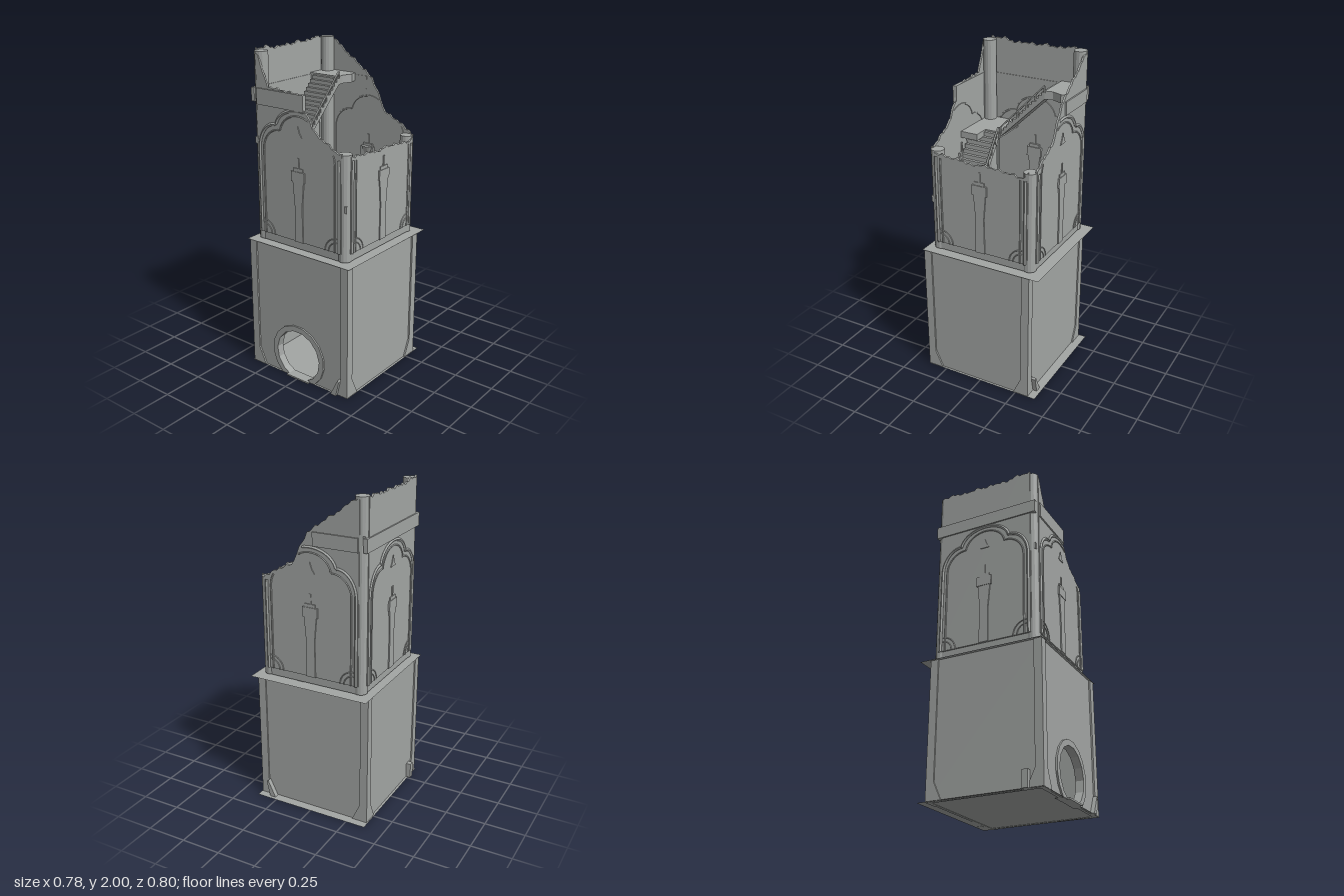
import * as THREE from 'three';

const material = new THREE.MeshStandardMaterial({ color: 0xa3a6a4, flatShading: true, side: THREE.DoubleSide });

function add(parent, name, geometry, x = 0, y = 0, z = 0) {
  const mesh = new THREE.Mesh(geometry, material);
  mesh.name = name;
  mesh.position.set(x, y, z);
  parent.add(mesh);
  return mesh;
}

// Box given by its limits on each axis
function block(parent, name, x0, x1, y0, y1, z0, z1) {
  return add(parent, name, new THREE.BoxGeometry(x1 - x0, y1 - y0, z1 - z0),
    (x0 + x1) / 2, (y0 + y1) / 2, (z0 + z1) / 2);
}

// Thin level sheet
function sheet(parent, name, x0, x1, y, z0, z1) {
  add(parent, name, new THREE.PlaneGeometry(x1 - x0, z1 - z0), (x0 + x1) / 2, y, (z0 + z1) / 2).rotation.x = -Math.PI / 2;
}

function plate(points, depth, holes = []) {
  const shape = new THREE.Shape(points.map(p => new THREE.Vector2(...p)));
  for (const h of holes) shape.holes.push(new THREE.Path(h.map(p => new THREE.Vector2(...p))));
  return new THREE.ExtrudeGeometry(shape, { depth, bevelEnabled: false });
}

// Doorway circle cut off by the ground, from right foot round to left foot
function doorArc(r, n = 13) {
  const cy = 0.155, a0 = Math.asin(-cy / r);
  return Array.from({ length: n + 1 }, (_, i) => {
    const a = a0 + (Math.PI - 2 * a0) * i / n;
    return [r * Math.cos(a), Math.max(0, cy + r * Math.sin(a))];
  });
}

// Height of a broken wall top at u
function heightAt(profile, u) {
  for (let i = 1; i < profile.length; i++) {
    const [a, ya] = profile[i - 1], [b, yb] = profile[i];
    if (u <= b) return ya + (yb - ya) * (u - a) / (b - a);
  }
  return profile[profile.length - 1][1];
}

// Adds small chips to a wall top
function ragged(profile) {
  return Array.from({ length: 37 }, (_, i) => {
    const u = -0.305 + 0.61 * i / 36;
    return [u, heightAt(profile, u) + 0.006 * Math.sin(i * 2.3) + 0.004 * Math.sin(i * 5.1)];
  });
}

// Three-lobed arch from one foot to the other
function archPoints(inset) {
  const half = [], w = 0.29 - inset, top = 1.42;
  for (let y = 0.9; y < top; y += 0.04) half.push([w, y]);
  for (let i = 0; i <= 8; i++) {
    const a = i / 8 * Math.PI / 2;
    half.push([w - 0.12 + 0.12 * Math.cos(a), top + (0.16 - inset) * Math.sin(a)]);
  }
  for (let i = 0; i <= 10; i++) {
    const a = 0.15 + i / 10 * (Math.PI / 2 - 0.15);
    half.push([(0.165 - inset) * Math.cos(a), 1.56 - inset + 0.12 * Math.sin(a)]);
  }
  return [...half, ...half.slice(0, -1).reverse().map(([x, y]) => [-x, y])];
}

// Raised moulding, kept only where the wall still stands
function moulding(parent, name, points, profile, z, radius) {
  let run = [];
  const flush = () => {
    if (run.length > 2) {
      const curve = new THREE.CatmullRomCurve3(run, false, 'centripetal');
      add(parent, name, new THREE.TubeGeometry(curve, run.length * 2, radius, 5));
    }
    run = [];
  };
  for (const [u, y] of points) {
    if (y < heightAt(profile, u) - 0.01) run.push(new THREE.Vector3(u, y, z));
    else flush();
  }
  flush();
}

function upperWall(name, angle, outline, bracket) {
  const g = new THREE.Group(), profile = ragged(outline);
  g.name = name;
  g.rotation.y = angle;
  add(g, 'brokenWall', plate([[-0.305, 0.9], [0.305, 0.9], ...[...profile].reverse()], 0.012), 0, 0, 0.332);
  moulding(g, 'outerArch', archPoints(0), profile, 0.343, 0.01);
  moulding(g, 'innerArch', archPoints(0.03), profile, 0.343, 0.005);
  moulding(g, 'insideArch', archPoints(0.03), profile, 0.333, 0.006);
  // Tapered pilaster with a capital, showing on both faces of the wall
  add(g, 'pilaster', plate([[-0.03, 0.9], [0.03, 0.9], [0.027, 1.12], [0.04, 1.27], [-0.04, 1.27], [-0.027, 1.12]], 0.03), 0, 0, 0.321);
  block(g, 'capital', -0.048, 0.048, 1.27, 1.33, 0.314, 0.354);
  block(g, 'capitalNeck', -0.034, 0.034, 1.33, 1.35, 0.32, 0.35);
  block(g, 'finial', -0.006, 0.006, 1.35, 1.41, 0.326, 0.349);
  if (bracket)
    add(g, 'innerBracket', new THREE.CylinderGeometry(0.045, 0.02, 0.07, 10, 1, false, Math.PI / 2, Math.PI), 0, 1.3, 0.335);
  // Fan ornaments at the foot of the arch
  for (const s of [-1, 1]) for (const r of [0.06, 0.085]) {
    const fan = add(g, 'footFan', new THREE.TorusGeometry(r, 0.003, 4, 8, Math.PI / 2), s * 0.275, 0.9, 0.344);
    fan.rotation.z = s > 0 ? Math.PI / 2 : 0;
  }
  // Leaf under the crown of the arch
  if (heightAt(profile, 0) > 1.65)
    add(g, 'leaf', plate([[-0.03, 1.53], [0.03, 1.53], [0.014, 1.555], [0, 1.595], [-0.014, 1.555]], 0.01), 0, 0, 0.339);
  return g;
}

// Stair climbing along +x, with a railing on the +z edge
function flight(name, length, width, rise, x, y, z, angle, rail = true) {
  const g = new THREE.Group(), n = Math.round(length / 0.02), pts = [[0, -0.02]];
  g.name = name;
  for (let i = 0; i < n; i++) pts.push([length * i / n, rise * (i + 1) / n], [length * (i + 1) / n, rise * (i + 1) / n]);
  pts.push([length, rise - 0.04]);
  add(g, 'steps', plate(pts, width), 0, 0, -width / 2);
  if (rail) {
    for (let i = 0; i <= 5; i++)
      add(g, 'railPost', new THREE.BoxGeometry(0.009, 0.04, 0.009), length * i / 5, rise * i / 5 + 0.02, width / 2);
    const bar = add(g, 'handrail', new THREE.BoxGeometry(Math.hypot(length, rise), 0.008, 0.011), length / 2, rise / 2 + 0.04, width / 2);
    bar.rotation.z = Math.atan2(rise, length);
  }
  g.position.set(x, y, z);
  g.rotation.y = angle;
  return g;
}

function lowerStorey() {
  const g = new THREE.Group();
  g.name = 'lowerStorey';
  const x0 = -0.36, x1 = 0.368, z0 = -0.328, z1 = 0.368, top = 0.84;
  sheet(g, 'groundPlate', -0.375, 0.382, 0.002, -0.385, 0.38);
  sheet(g, 'ledge', -0.383, 0.389, top, -0.4, 0.383);
  block(g, 'backWall', x0, x1, 0, top, z0, z0 + 0.02);
  block(g, 'leftWall', x1 - 0.02, x1, 0, top, z0, z1);
  block(g, 'rightWall', x0, x0 + 0.02, 0, top, z0, z1);
  add(g, 'frontWall', plate([[x0, 0], ...doorArc(0.17).reverse(), [x1, 0], [x1, top], [x0, top]], 0.02), 0, 0, z1 - 0.02);
  add(g, 'doorRing', plate([...doorArc(0.2), ...doorArc(0.165).reverse()], 0.05), 0, 0, z1 - 0.04);
  block(g, 'doorStep', -0.08, 0.09, 0, 0.01, 0.33, 0.395);
  // Corner strips with flared feet on all four faces
  const strip = [[0, 0], [0.1, 0], [0.05, 0.11], [0.05, top], [0, top]];
  for (let i = 0; i < 4; i++) {
    const face = new THREE.Group();
    face.name = 'cornerStrips';
    face.position.set(0.005, 0, 0.021);
    face.rotation.y = i * Math.PI / 2;
    const [half, out] = i % 2 ? [0.357, 0.373] : [0.373, 0.357];
    for (const s of [-1, 1])
      add(face, 'cornerStrip', plate(strip.map(([u, y]) => [s * (half - u), y]), 0.012), 0, 0, out - 0.012);
    g.add(face);
  }
  // Loose slanted stones leaning on the feet
  const stone = [[0.265, 0], [0.305, 0], [0.328, 0.1], [0.318, 0.11]];
  add(g, 'looseStone', plate(stone, 0.025), 0, 0, 0.37);
  add(g, 'looseStone', plate(stone, 0.03), 0, 0, -0.363);
  block(g, 'looseStone', -0.39, -0.355, 0, 0.1, 0.26, 0.295);
  return g;
}

export function createModel() {
  const tower = new THREE.Group(), q = Math.PI / 2;
  tower.name = 'ruinedTower';
  tower.add(lowerStorey());

  // Upper floor with a stairwell at the back and notched corners
  const a = 0.335, b = 0.285;
  add(tower, 'upperFloor', plate(
    [[-b, -a], [b, -a], [b, -b], [a, -b], [a, b], [b, b], [b, a], [-b, a], [-b, b], [-a, b], [-a, -b], [-b, -b]], 0.05,
    [[[-0.05, 0.14], [-0.05, 0.315], [0.13, 0.315], [0.13, 0.14]]]), 0, 0.85, 0).rotation.x = -q;

  // Broken walls, each with its own top line
  tower.add(upperWall('frontUpperWall', 0, [[-0.305, 1.97], [-0.28, 1.95], [-0.26, 1.87], [-0.22, 1.79], [0.03, 1.77],
    [0.05, 1.68], [0.08, 1.65], [0.11, 1.58], [0.16, 1.55], [0.2, 1.53], [0.27, 1.49], [0.305, 1.48]], false));
  tower.add(upperWall('backUpperWall', Math.PI, [[-0.305, 1.47], [-0.27, 1.49], [-0.2, 1.53], [-0.11, 1.57], [-0.08, 1.65],
    [-0.04, 1.71], [-0.02, 1.76], [0.05, 1.81], [0.1, 1.85], [0.15, 1.88], [0.22, 1.93], [0.25, 1.965], [0.305, 1.98]], true));
  tower.add(upperWall('leftUpperWall', q, [[-0.305, 1.47], [-0.2, 1.46], [-0.1, 1.455], [-0.05, 1.44],
    [0, 1.455], [0.1, 1.45], [0.2, 1.44], [0.27, 1.43], [0.305, 1.46]], true));
  tower.add(upperWall('rightUpperWall', -q, [[-0.305, 1.985], [-0.22, 1.99], [-0.14, 1.975], [-0.06, 1.985],
    [0, 1.975], [0.08, 1.98], [0.14, 1.97], [0.22, 1.99], [0.305, 1.985]], false));

  // Round columns filling the notched corners
  for (const [sx, sz, top] of [[-1, 1, 1.98], [-1, -1, 1.99], [1, -1, 1.46], [1, 1, 1.48]])
    add(tower, 'cornerColumn', new THREE.CylinderGeometry(0.04, 0.04, top - 0.85, 14), sx * 0.301, (top + 0.85) / 2, sz * 0.301);

  // String course around the tall side
  block(tower, 'rightCornice', -0.352, -0.328, 1.69, 1.77, -0.34, 0.34);
  block(tower, 'frontCornice', -0.3, 0.045, 1.68, 1.775, 0.328, 0.353);
  block(tower, 'backCornice', -0.3, -0.02, 1.69, 1.77, -0.353, -0.328);

  // Stair winding up round the middle, with corner landings
  tower.add(flight('backFlight', 0.24, 0.18, 0.3, -0.11, 0.6, -0.23, 0, false));
  tower.add(flight('leftFlight', 0.23, 0.19, 0.29, 0.235, 0.9, -0.11, -q));
  tower.add(flight('frontFlight', 0.21, 0.19, 0.28, 0.11, 1.19, 0.225, 2 * q));
  tower.add(flight('rightFlight', 0.29, 0.19, 0.3, -0.205, 1.47, 0.12, q));
  block(tower, 'lowLanding', -0.34, -0.11, 0.57, 0.6, -0.31, -0.14);
  block(tower, 'firstLanding', 0.11, 0.335, 1.15, 1.19, 0.12, 0.335);
  block(tower, 'secondLanding', -0.335, -0.1, 1.44, 1.48, 0.12, 0.335);
  block(tower, 'landingLip', -0.1, 0, 1.44, 1.48, 0.22, 0.335);
  add(tower, 'topLanding', plate([[-0.335, 0.17], [-0.11, 0.17], [-0.12, 0.22], [-0.095, 0.28], [-0.11, 0.335], [-0.335, 0.335]], 0.05),
    0, 1.73, 0).rotation.x = -q;

  // Railing beside the stairwell
  for (let i = 0; i < 4; i++) block(tower, 'railPost', -0.02 + i * 0.05, -0.011 + i * 0.05, 0.9, 0.96, -0.134, -0.125);
  block(tower, 'stairwellRail', -0.05, 0.145, 0.953, 0.963, -0.138, -0.124);
  return tower;
}
